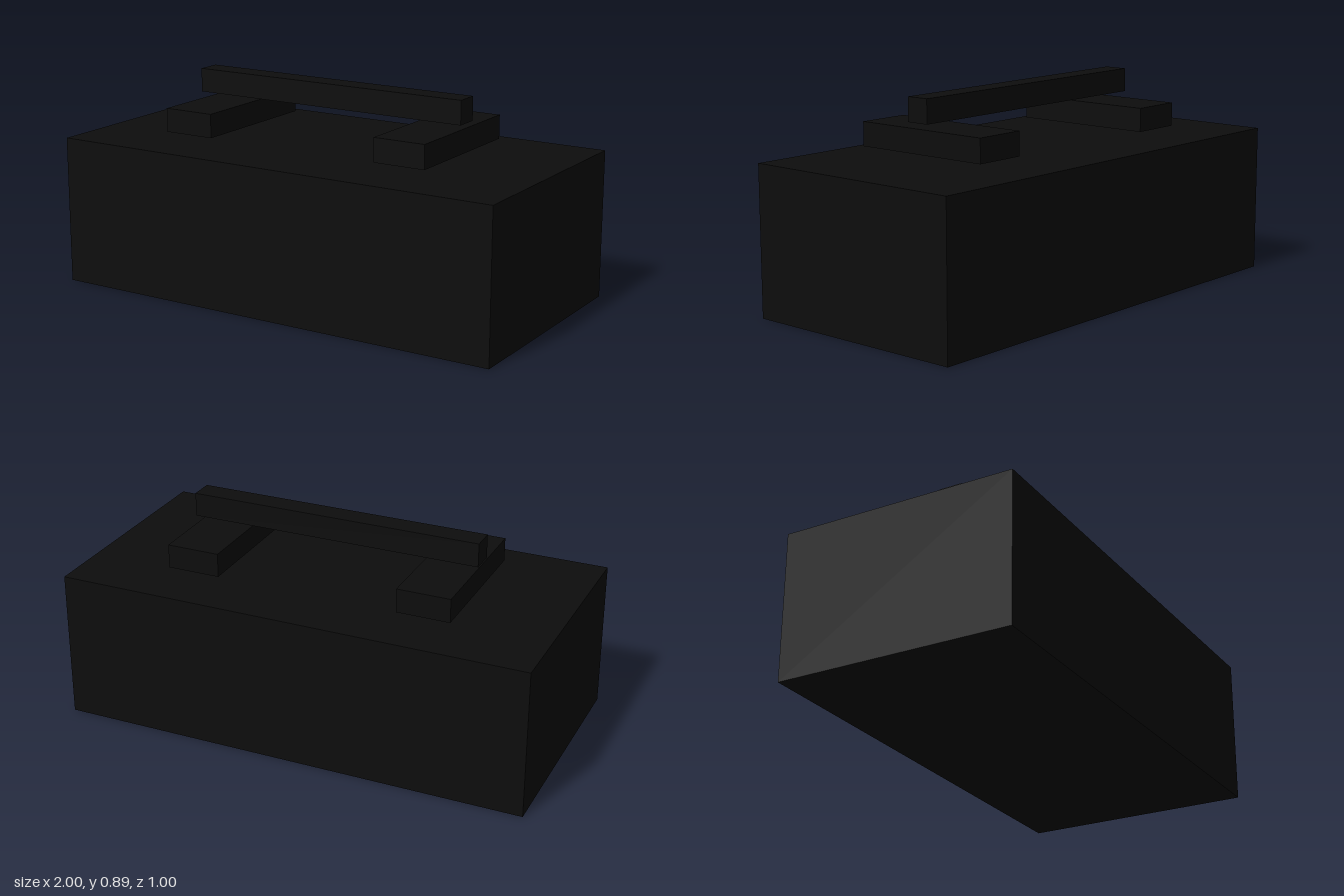
import * as THREE from 'three';

export function createModel() {
  const model = new THREE.Group();
  const material = new THREE.MeshStandardMaterial({ color: 0x0d0d0d });

  function addBox(name, [width, height, depth], [x, bottom, z]) {
    const mesh = new THREE.Mesh(new THREE.BoxGeometry(width, height, depth), material);
    mesh.name = name;
    mesh.position.set(x, bottom + height / 2, z);
    model.add(mesh);
  }

  // Solid main block
  addBox('body', [2, 0.625, 1], [0, 0, 0]);

  // Pair of front-to-back slats floating just above the body
  for (const [name, side] of [['leftSlat', 1], ['rightSlat', -1]]) {
    addBox(name, [0.225, 0.1, 0.625], [side * 0.5, 0.6625, 0]);
  }

  // Long bar floating across both slats
  addBox('crossBar', [1.25, 0.1, 0.1], [0, 0.7875, 0]);

  return model;
}
